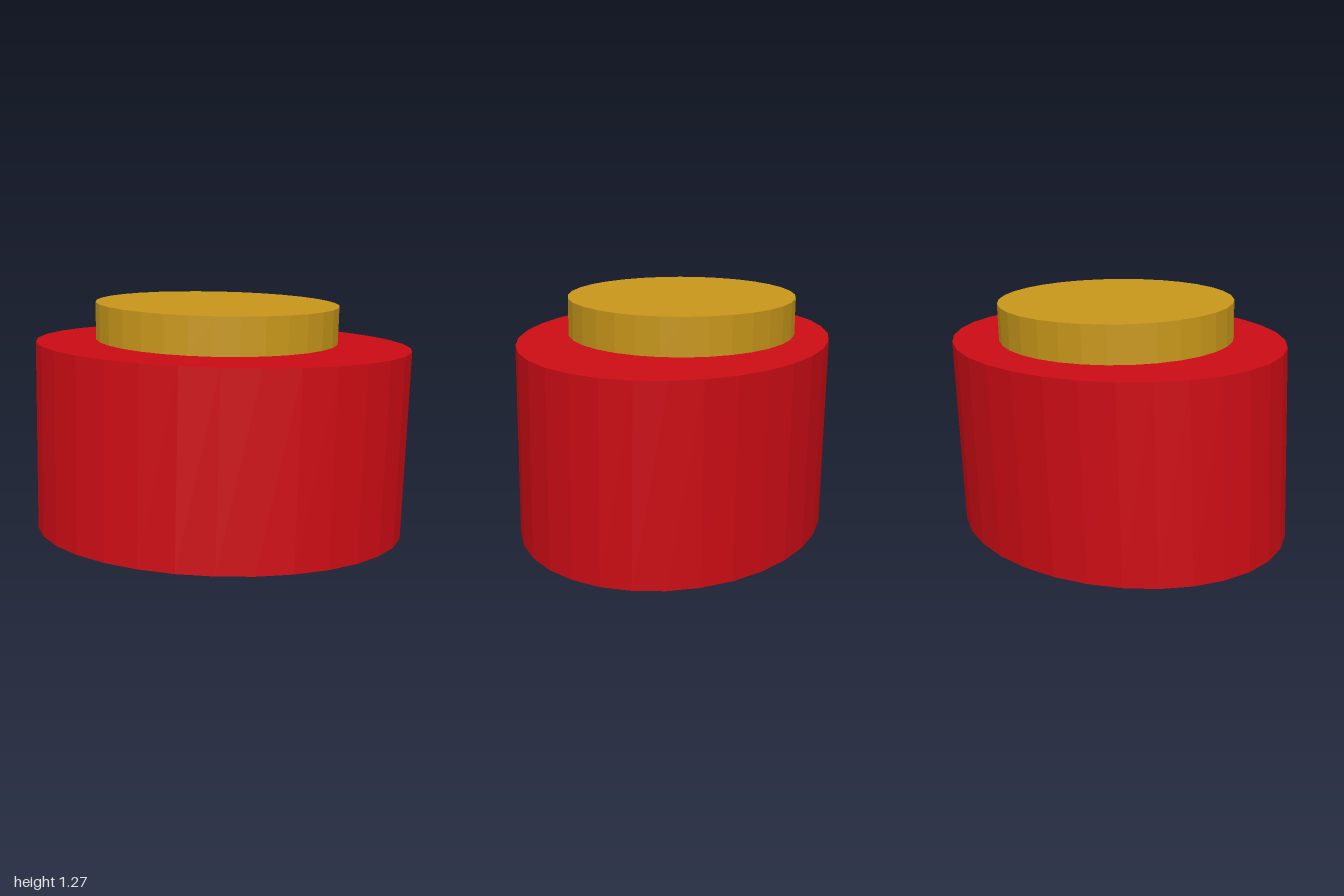
import * as THREE from 'three';

// Faceted elliptical drum, turned slightly and tilted off the vertical
function drum(name, color, [rx, rz], height, [x, y, z], [tiltX, yaw, tiltZ]) {
  const geometry = new THREE.CylinderGeometry(1, 1, height, 32);
  geometry.scale(rx, 1, rz);
  const mesh = new THREE.Mesh(
    geometry,
    new THREE.MeshStandardMaterial({ color, flatShading: true })
  );
  mesh.name = name;
  mesh.position.set(x, y, z);
  mesh.rotation.set(tiltX, yaw, tiltZ, 'XZY');
  return mesh;
}

export function createModel() {
  const model = new THREE.Group();
  model.name = 'drumWithCap';

  // Large red body
  model.add(drum('body', 0xcc0c14, [0.99, 0.788], 1.007, [0, 0.535, 0], [-0.026, 0.07, -0.0235]));

  // Shallow gold cap floating just above the body's top
  model.add(drum('cap', 0xc8971a, [0.642, 0.59], 0.193, [-0.025, 1.153, -0.03], [-0.021, 0.07, -0.0195]));

  return model;
}
